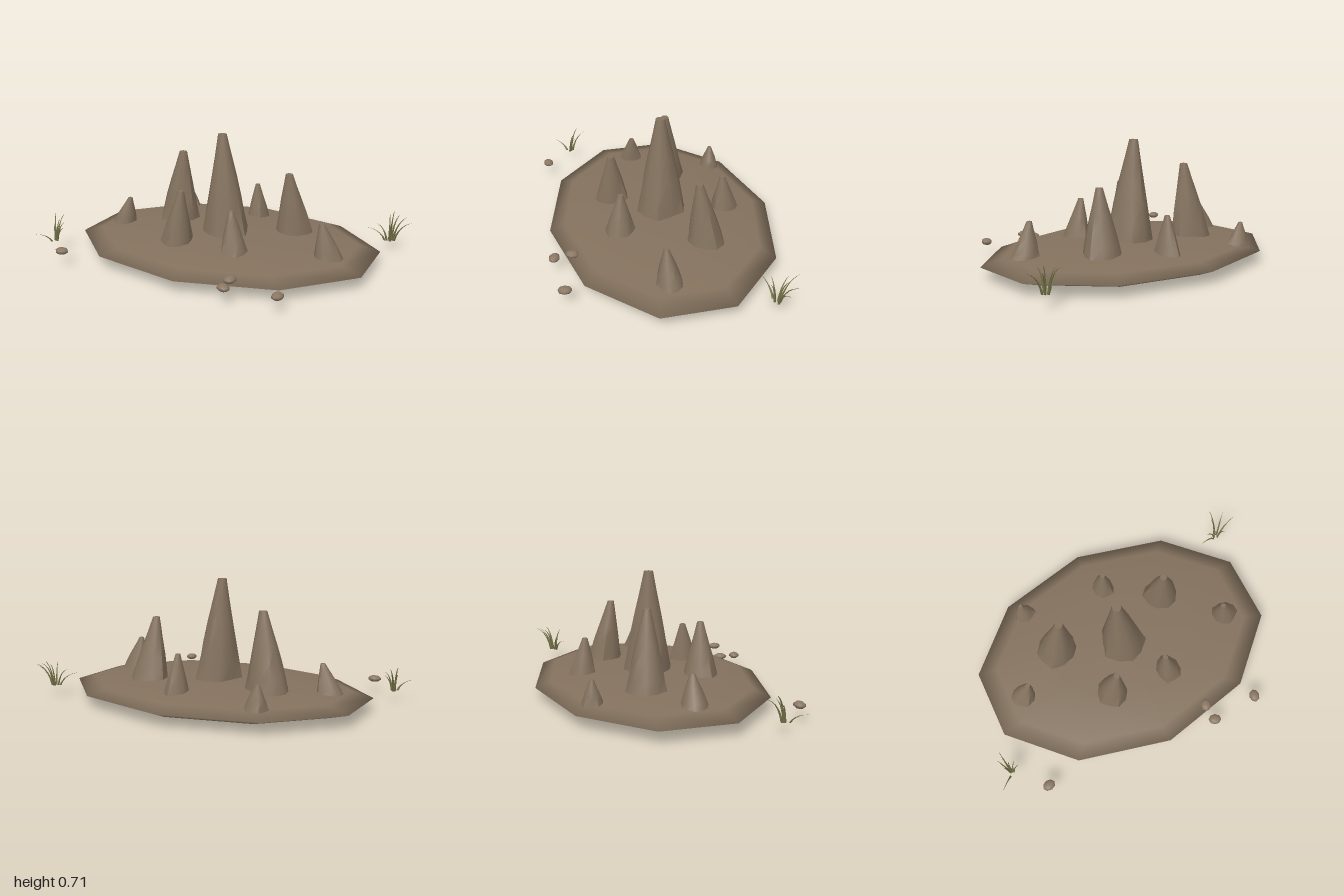
import * as THREE from 'three';
import { toCreasedNormals } from 'three/addons/utils/BufferGeometryUtils.js';

const mat = (name, color, extra = {}) => {
  const m = new THREE.MeshStandardMaterial({ color, ...extra });
  m.name = name;
  return m;
};

// Visit every vertex of a geometry with a rule that edits it in place
function bend(geometry, rule) {
  const pos = geometry.attributes.position;
  const v = new THREE.Vector3();
  for (let i = 0; i < pos.count; i++) {
    rule(v.fromBufferAttribute(pos, i));
    pos.setXYZ(i, v.x, v.y, v.z);
  }
  return geometry;
}

// Bulging profile of a spire, from foot to blunt tip
const PROFILE = [1, 0.85, 0.7, 0.53, 0.35, 0.18];
const profileAt = (t) => {
  const f = Math.min(t * 5, 4.999);
  const i = Math.floor(f);
  return THREE.MathUtils.lerp(PROFILE[i], PROFILE[i + 1], f - i);
};

// Lumpy leaning spire: foot centre and radii, tip position, seed for the lumps
function spire(x, z, rx, rz, tipX, tipY, tipZ, seed) {
  const foot = 0.1;
  const g = bend(new THREE.CylinderGeometry(1, 1, 1, 10, 5), (v) => {
    const t = v.y + 0.5;
    const a = Math.atan2(v.z, v.x);
    const lump = 1 + 0.06 * (1 - t) * (Math.sin(3 * a + seed) + Math.sin(5 * a + seed * 2.3 + t * 4));
    const r = profileAt(t) * lump;
    v.set(
      x + (tipX - x) * t + v.x * rx * r,
      foot + (tipY - foot) * t,
      z + (tipZ - z) * t + v.z * rz * r
    );
  });
  return toCreasedNormals(g, 0.85);
}

// Thin tapering blade following a curve that rises first and then droops outward
function blade(base, tip) {
  const mid = new THREE.Vector3(
    base.x + (tip.x - base.x) * 0.25, base.y + (tip.y - base.y) * 0.8, base.z + (tip.z - base.z) * 0.25);
  const curve = new THREE.QuadraticBezierCurve3(base, mid, tip);
  const g = bend(new THREE.CylinderGeometry(0.001, 0.007, 1, 4, 5, true), (v) => {
    const p = curve.getPoint(v.y + 0.5);
    v.set(p.x + v.x, p.y, p.z + v.z);
  });
  g.computeVertexNormals();
  return g;
}

export function createModel() {
  const model = new THREE.Group();
  model.name = 'moundField';
  const soil = mat('soil', 0x83715d);
  const stone = mat('stone', 0x8a7763);
  const grass = mat('grass', 0x75744a, { side: THREE.DoubleSide });

  const add = (parent, name, geometry, material) => {
    const mesh = new THREE.Mesh(geometry, material);
    mesh.name = name;
    parent.add(mesh);
    return mesh;
  };

  // Flattened ten-sided earth pad
  const pad = new THREE.SphereGeometry(1, 10, 6, Math.PI / 2);
  pad.scale(0.92, 0.07, 0.665);
  add(model, 'earthPad', pad, soil).position.set(0, 0.07, -0.025);

  // Spires: x, z, rx, rz, tipX, tipY, tipZ
  const spires = new THREE.Group();
  spires.name = 'spires';
  model.add(spires);
  [
    [0.005, -0.025, 0.138, 0.15, -0.03, 0.715, -0.03],
    [-0.385, -0.15, 0.128, 0.117, -0.34, 0.56, -0.13],
    [0.355, -0.21, 0.115, 0.11, 0.335, 0.485, -0.165],
    [-0.195, 0.235, 0.095, 0.105, -0.16, 0.43, 0.24],
    [0.178, 0.255, 0.08, 0.093, 0.15, 0.355, 0.24],
    [0.66, 0.075, 0.084, 0.076, 0.62, 0.302, 0.087],
    [-0.68, 0.023, 0.075, 0.075, -0.632, 0.27, 0.025],
    [0.05, -0.405, 0.071, 0.085, 0.045, 0.33, -0.39],
    [-0.463, -0.46, 0.068, 0.06, -0.475, 0.235, -0.465],
  ].forEach((s, i) => add(spires, `spire${i + 1}`, spire(...s, i * 1.7), soil));

  // Pebbles along the front edge: x, y, z, turn
  const pebbles = new THREE.Group();
  pebbles.name = 'pebbles';
  model.add(pebbles);
  [
    [-0.755, 0.09, 0.572, 0.2],
    [0.283, 0.094, 0.545, 1.2],
    [0.292, 0.092, 0.645, -0.4],
    [0.575, 0.09, 0.62, 1.4],
  ].forEach(([x, y, z, turn], i) => {
    const g = new THREE.SphereGeometry(1, 8, 5);
    g.scale(0.039, 0.02, 0.031);
    const mesh = add(pebbles, `pebble${i + 1}`, g, stone);
    mesh.position.set(x, y, z);
    mesh.rotation.y = turn;
  });

  // Grass tufts: root centre, then blade tips
  const tufts = [
    {
      name: 'grassTuftRight', x: -0.922, z: 0.41,
      tips: [[-0.96, 0.22, 0.345], [-0.935, 0.2, 0.3], [-0.91, 0.2, 0.37],
        [-0.88, 0.18, 0.375], [-0.868, 0.155, 0.4], [-1.0, 0.125, 0.49], [-0.95, 0.17, 0.38]],
    },
    {
      name: 'grassTuftLeft', x: 0.88, z: -0.435,
      tips: [[0.75, 0.15, -0.395], [0.8, 0.17, -0.43], [0.86, 0.21, -0.5], [0.875, 0.22, -0.55],
        [0.92, 0.22, -0.48], [0.955, 0.2, -0.515], [1.0, 0.19, -0.46], [0.9, 0.2, -0.39]],
    },
  ];
  for (const { name, x, z, tips } of tufts) {
    const tuft = new THREE.Group();
    tuft.name = name;
    model.add(tuft);
    tips.forEach(([tx, ty, tz], i) => {
      const root = new THREE.Vector3(x + (tx - x) * 0.2, 0.07, z + (tz - z) * 0.2);
      add(tuft, `blade${i + 1}`, blade(root, new THREE.Vector3(tx, ty, tz)), grass);
    });
  }
  return model;
}
